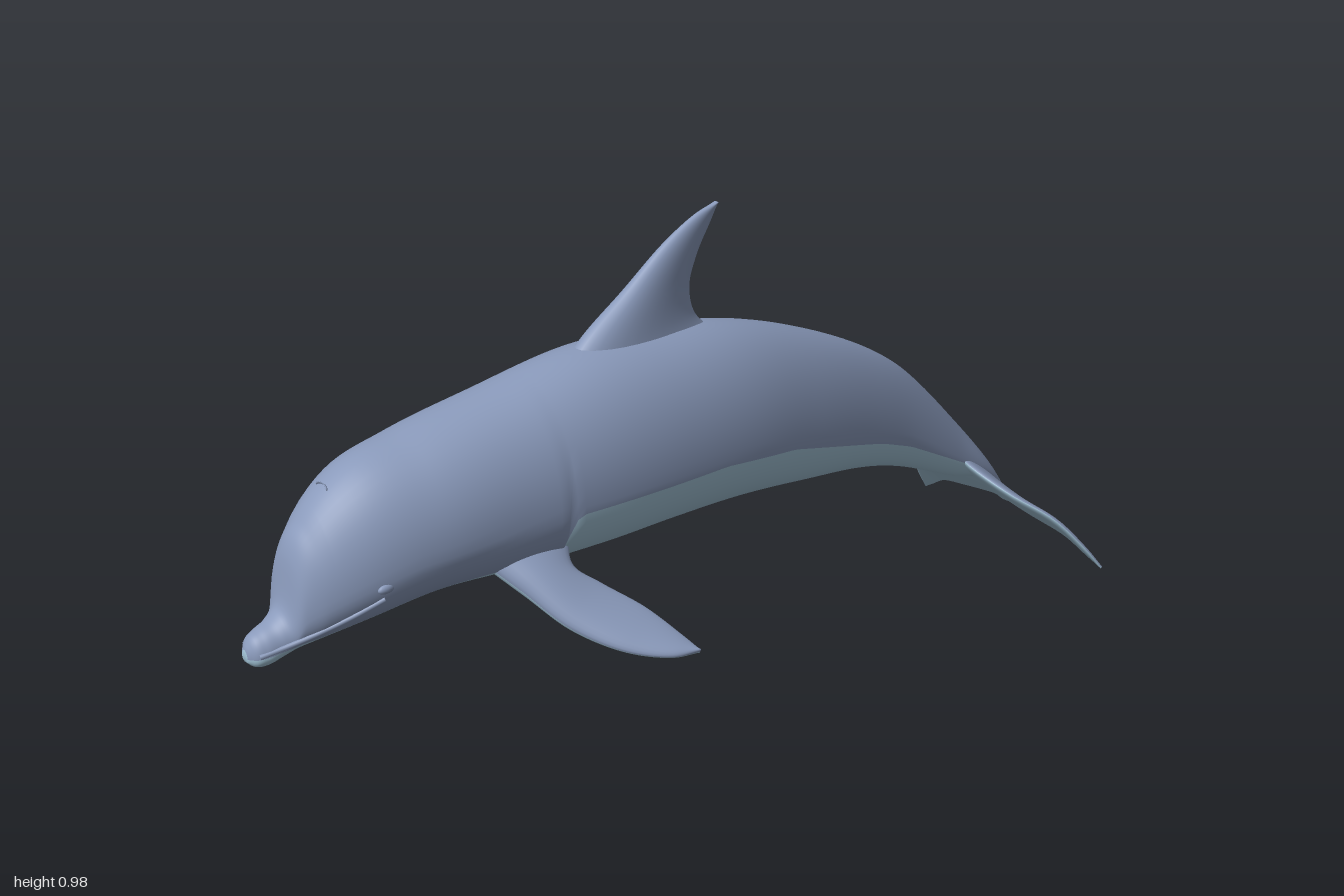
import * as THREE from 'three';

const slate = new THREE.MeshStandardMaterial({ color: 0x8a9abb });
slate.name = 'slate blue skin';
const pale = new THREE.MeshStandardMaterial({ color: 0xa3c4d8 });
pale.name = 'pale blue belly';

// Closed loft through rings of points; strips before `split` are slate, the rest pale
function loft(name, rings, split) {
  const n = rings[0].length, pos = [], idx = [];
  rings.forEach(r => r.forEach(p => pos.push(p.x, p.y, p.z)));
  for (let j = 0; j < n; j++) {
    const k = (j + 1) % n;
    for (let i = 0; i < rings.length - 1; i++) {
      const a = i * n + j, b = i * n + k;
      idx.push(a, b, a + n, b, b + n, a + n);
    }
  }
  const slateCount = split * (rings.length - 1) * 6;
  // end caps
  [0, rings.length - 1].forEach((i, end) => {
    const mid = new THREE.Vector3();
    rings[i].forEach(p => mid.addScaledVector(p, 1 / n));
    const m = pos.length / 3;
    pos.push(mid.x, mid.y, mid.z);
    for (let j = 0; j < n; j++) {
      const a = i * n + j, b = i * n + (j + 1) % n;
      if (end) idx.push(a, b, m); else idx.push(b, a, m);
    }
  });
  // turn the faces outward if the enclosed volume is negative
  const at = i => new THREE.Vector3().fromArray(pos, i * 3);
  let volume = 0;
  for (let i = 0; i < idx.length; i += 3) volume += at(idx[i]).dot(at(idx[i + 1]).cross(at(idx[i + 2])));
  if (volume < 0) for (let i = 0; i < idx.length; i += 3) [idx[i], idx[i + 1]] = [idx[i + 1], idx[i]];

  const geo = new THREE.BufferGeometry();
  geo.setAttribute('position', new THREE.Float32BufferAttribute(pos, 3));
  geo.setIndex(idx);
  geo.addGroup(0, slateCount, 0);
  geo.addGroup(slateCount, idx.length - slateCount, 1);
  geo.computeVertexNormals();
  const mesh = new THREE.Mesh(geo, [slate, pale]);
  mesh.name = name;
  return mesh;
}

// Body outline from tail to nose: z, top y, bottom y, half width
const outline = [
  [-0.97, 0.098, 0.08, 0.02], [-0.88, 0.222, 0.165, 0.04], [-0.77, 0.348, 0.205, 0.046],
  [-0.61, 0.508, 0.273, 0.06], [-0.5, 0.583, 0.305, 0.077], [-0.29, 0.68, 0.337, 0.116],
  [-0.1, 0.738, 0.362, 0.147], [0.1, 0.762, 0.372, 0.165], [0.25, 0.764, 0.373, 0.17],
  [0.46, 0.733, 0.382, 0.165], [0.65, 0.7, 0.395, 0.152], [0.785, 0.663, 0.376, 0.124],
  [0.87, 0.588, 0.36, 0.086], [0.905, 0.525, 0.352, 0.062], [0.92, 0.445, 0.35, 0.05],
  [0.94, 0.417, 0.343, 0.042], [0.97, 0.402, 0.335, 0.036], [0.99, 0.39, 0.338, 0.026],
  [1, 0.372, 0.348, 0.01],
];
const profile = new THREE.CubicInterpolant(outline.map(r => r[0]), outline.flatMap(r => r.slice(1)), 3);

// Height of the colour border along the body: z, y
const border = [
  [-0.97, 0.088], [-0.8, 0.235], [-0.6, 0.34], [-0.5, 0.38], [-0.3, 0.44], [-0.2, 0.47],
  [0, 0.5], [0.375, 0.51], [0.395, 0.43], [0.7, 0.42], [0.9, 0.372], [1, 0.356],
];
function borderY(z) {
  const i = Math.max(1, border.findIndex(b => b[0] >= z));
  const [a, b] = [border[i - 1], border[i]];
  return THREE.MathUtils.mapLinear(z, a[0], b[0], a[1], b[1]);
}

function section(z) {
  const [top, bottom, w] = profile.evaluate(z);
  const mid = bottom + 0.38 * (top - bottom);
  return {
    angleAt: y => Math.asin(THREE.MathUtils.clamp((y - mid) / (y > mid ? top - mid : mid - bottom), -0.95, 0.95)),
    point(angle) {
      const s = Math.sin(angle), c = Math.cos(angle);
      const x = Math.sign(c) * w * Math.pow(Math.abs(c), s > 0 ? 1 : 0.82);
      const drift = 0.012 * THREE.MathUtils.smoothstep(-z, 0.2, 0.9);
      return new THREE.Vector3(x + drift, mid + s * (s > 0 ? top - mid : mid - bottom), z);
    },
  };
}
const skinPoint = (z, y) => { const s = section(z); return s.point(s.angleAt(y)); };

function makeBody() {
  const rings = [], upper = 36, lower = 24;
  const ring = z => {
    const s = section(z), a = s.angleAt(borderY(z)), r = [];
    for (let j = 0; j < upper; j++) r.push(s.point(a + (Math.PI - 2 * a) * j / upper));
    for (let j = 0; j < lower; j++) r.push(s.point(Math.PI - a + (Math.PI + 2 * a) * j / lower));
    rings.push(r);
  };
  for (let i = 0; i < 100; i++) ring(-0.97 + 1.82 * i / 100);
  for (let i = 0; i <= 40; i++) ring(0.85 + 0.15 * i / 40);
  return loft('body', rings, upper);
}

// Foil-shaped blade between a leading and a trailing edge; thick(t) is its half thickness along `up`
function blade(name, lead, trail, up, thick, allSlate = false) {
  const curve = pts => new THREE.CatmullRomCurve3(pts.map(p => new THREE.Vector3(...p)));
  const front = curve(lead), back = curve(trail), dir = new THREE.Vector3(...up).normalize();
  const rings = [], steps = 48, n = 28;
  for (let i = 0; i <= steps; i++) {
    const t = i / steps, a = front.getPoint(t), b = back.getPoint(t), r = [];
    for (let j = 0; j < n; j++) {
      const q = 2 * Math.PI * j / n, v = (1 - Math.cos(q)) / 2;
      r.push(a.clone().lerp(b, v).addScaledVector(dir, thick(t) * Math.sin(q) * (1.2 - 0.6 * v)));
    }
    rings.push(r);
  }
  return loft(name, rings, allSlate ? n : n / 2);
}

const flip = pts => pts.map(([x, y, z]) => [-x, y, z]);

export function createModel() {
  const model = new THREE.Group();
  model.name = 'dolphin';
  model.add(makeBody());

  // dorsal fin
  model.add(blade('dorsalFin',
    [[0, 0.7, 0.31], [0, 0.775, 0.24], [0, 0.85, 0.14], [0, 0.93, 0.036], [0, 0.972, -0.04], [0, 0.988, -0.093]],
    [[0, 0.69, -0.14], [0, 0.765, -0.042], [0, 0.83, -0.025], [0, 0.893, -0.045], [0, 0.95, -0.078], [0, 0.985, -0.097]],
    [1, 0, 0], t => 0.006 + 0.05 * Math.pow(1 - t, 1.7), true));

  // tail flukes, one blade from tip to tip
  const lead = [[0, 0.285, -0.765], [0.05, 0.243, -0.785], [0.15, 0.195, -0.82], [0.225, 0.142, -0.885],
    [0.268, 0.06, -0.955], [0.283, 0.006, -0.997]];
  const trail = [[0, 0.085, -0.972], [0.04, 0.078, -0.984], [0.13, 0.071, -0.972], [0.2, 0.056, -0.975],
    [0.25, 0.024, -0.988], [0.281, 0.004, -0.999]];
  const span = half => [...flip(half.slice(1)).reverse(), ...half];
  const flukes = blade('tailFlukes', span(lead), span(trail), [0, 1, -1],
    t => 0.003 + 0.015 * (1 - Math.abs(2 * t - 1)));
  flukes.position.x = 0.012;
  model.add(flukes);

  // flippers
  const fLead = [[0.11, 0.43, 0.54], [0.165, 0.39, 0.505], [0.245, 0.33, 0.455], [0.32, 0.29, 0.385],
    [0.368, 0.273, 0.31], [0.38, 0.271, 0.256]];
  const fTrail = [[0.11, 0.45, 0.36], [0.165, 0.41, 0.39], [0.205, 0.378, 0.355], [0.27, 0.335, 0.3],
    [0.345, 0.29, 0.264], [0.377, 0.274, 0.254]];
  const fThick = t => 0.006 + 0.03 * Math.pow(1 - t, 1.3);
  model.add(blade('leftFlipper', fLead, fTrail, [0.5, 0.85, 0], fThick));
  model.add(blade('rightFlipper', flip(fLead), flip(fTrail), [-0.5, 0.85, 0], fThick));

  // lips and eyes
  const mouth = [[0.985, 0.364], [0.94, 0.374], [0.89, 0.392], [0.83, 0.422], [0.775, 0.45]];
  for (const [side, s] of [['left', 1], ['right', -1]]) {
    const pts = mouth.map(([z, y]) => skinPoint(z, y).multiply(new THREE.Vector3(s, 1, 1)));
    const lip = new THREE.Mesh(new THREE.TubeGeometry(new THREE.CatmullRomCurve3(pts), 30, 0.005, 8), slate);
    lip.name = side + 'Lip';
    const eye = new THREE.Mesh(new THREE.SphereGeometry(0.014, 16, 10), slate);
    eye.name = side + 'Eye';
    eye.position.copy(skinPoint(0.775, 0.472));
    eye.position.x *= s;
    eye.scale.set(0.5, 0.65, 1.2);
    model.add(lip, eye);
  }

  // blowhole rim
  const blowhole = new THREE.Mesh(new THREE.TorusGeometry(0.018, 0.003, 8, 20, Math.PI), slate);
  blowhole.name = 'blowhole';
  blowhole.position.set(-0.005, profile.evaluate(0.82)[0], 0.82);
  blowhole.rotation.x = -0.9;
  blowhole.scale.y = 0.4;
  model.add(blowhole);

  return model;
}
